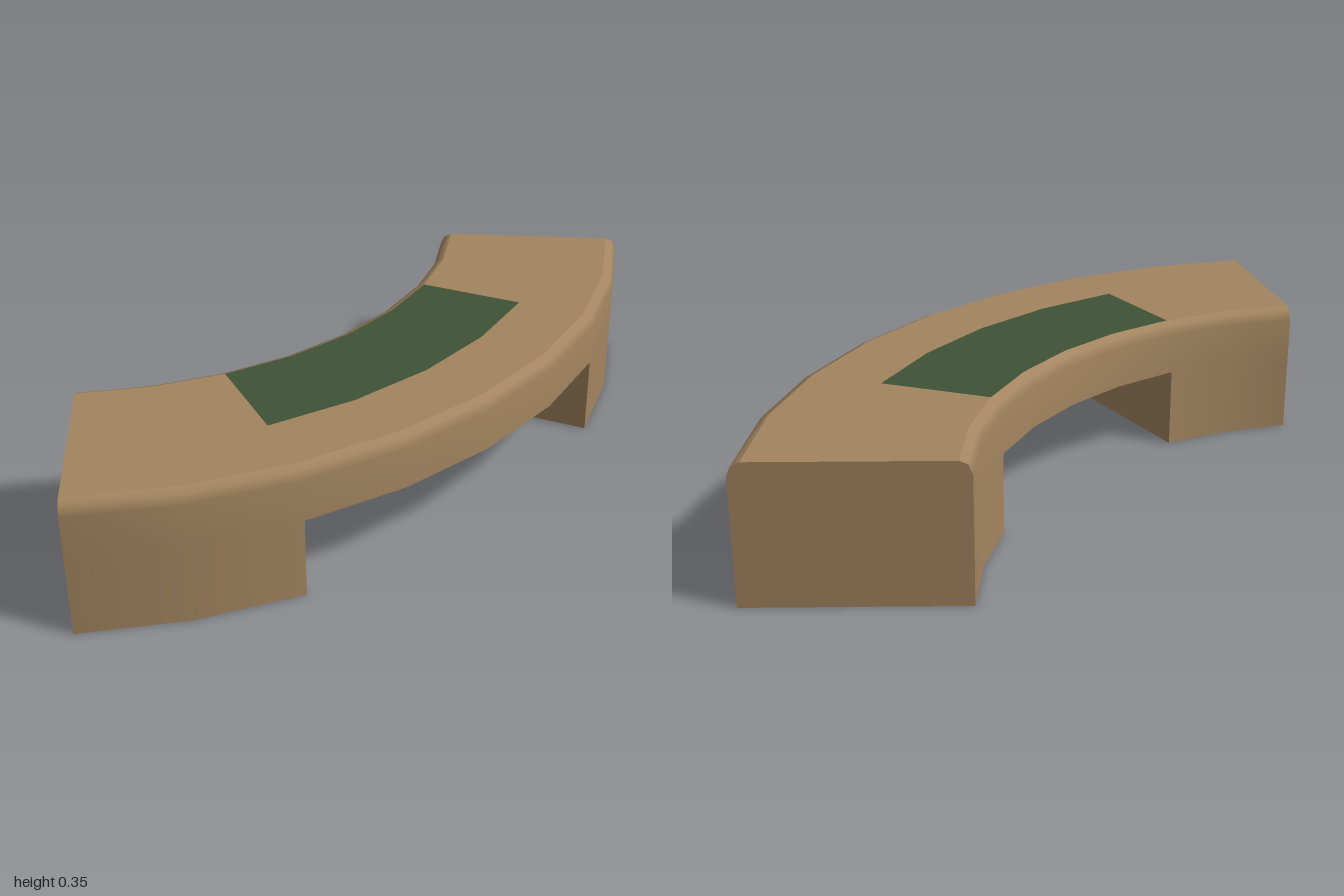
import * as THREE from 'three';
import { mergeGeometries } from 'three/addons/utils/BufferGeometryUtils.js';

const CENTRE_Z = -1.175; // centre of the bench's arc
const STEP = 10;         // degrees per segment
const RIN = 1.035, ROUT = 1.555, TOP = 0.347, UNDER = 0.208;
const PANEL_IN = 1.065, PANEL_OUT = 1.345, TOP_OUT = 1.525;
const rad = THREE.MathUtils.degToRad;

// Sweep an open profile of [radius, y] points around the arc, smooth along it.
function sweep(profile, from, to) {
  const segs = Math.round((to - from) / STEP), n = profile.length;
  const pos = [], index = [];
  for (let i = 0; i <= segs; i++) {
    const a = rad(from + i * STEP);
    for (const [r, y] of profile) pos.push(r * Math.sin(a), y, r * Math.cos(a));
  }
  for (let i = 0; i < segs; i++) for (let j = 0; j < n - 1; j++) {
    const a = i * n + j, b = a + n;
    index.push(a, b, a + 1, b, b + 1, a + 1);
  }
  const g = new THREE.BufferGeometry();
  g.setAttribute('position', new THREE.Float32BufferAttribute(pos, 3));
  g.setIndex(index);
  g.computeVertexNormals();
  // turn each normal exactly radial, so neighbouring strips shade alike
  const nor = g.attributes.normal;
  for (let k = 0; k < nor.count; k++) {
    const a = rad(from + Math.floor(k / n) * STEP), s = Math.sin(a), c = Math.cos(a);
    const y = nor.getY(k), h = nor.getX(k) * s + nor.getZ(k) * c;
    const l = Math.hypot(h, y);
    nor.setXYZ(k, s * h / l, y / l, c * h / l);
  }
  return g;
}

// Flat cross-section closing the sweep at one angle.
function cap(profile, angle, flip) {
  const g = new THREE.ShapeGeometry(new THREE.Shape(profile.map(p => new THREE.Vector2(...p))));
  g.deleteAttribute('uv');
  g.rotateY(rad(angle) - Math.PI / 2);
  if (flip) {
    g.index.array.reverse();
    g.computeVertexNormals();
  }
  return g;
}

export function createModel() {
  const bench = new THREE.Group();
  bench.name = 'curvedBench';
  const stone = new THREE.MeshStandardMaterial({ color: 0xa38560 });
  const green = new THREE.MeshStandardMaterial({ color: 0x3f5235 });
  const add = (name, parts, material) => {
    const mesh = new THREE.Mesh(mergeGeometries(parts), material);
    mesh.name = name;
    mesh.position.z = CENTRE_Z;
    bench.add(mesh);
  };

  // rounded front and back edges
  const outer = [[ROUT, UNDER], [ROUT, 0.315], [ROUT - 0.01, 0.338], [TOP_OUT, TOP]];
  const inner = [[PANEL_IN, TOP], [RIN + 0.01, 0.338], [RIN, 0.315], [RIN, UNDER]];
  const section = [...outer, ...inner];

  // seat slab, with its top left open where the panel lies
  add('seat', [
    sweep(outer, -40, 40),
    sweep(inner, -40, 40),
    sweep([[TOP_OUT, TOP], [PANEL_OUT, TOP]], -40, 40),
    sweep([[PANEL_OUT, TOP], [PANEL_IN, TOP]], -40, -20),
    sweep([[PANEL_OUT, TOP], [PANEL_IN, TOP]], 20, 40),
    sweep([[RIN, UNDER], [ROUT, UNDER]], -20, 20),
    cap(section, -40, false),
    cap(section, 40, true),
  ], stone);

  // inlaid seat panel
  add('seatPanel', [sweep([[PANEL_OUT, TOP], [PANEL_IN, TOP]], -20, 20)], green);

  // a block leg under each end
  const legSection = [[ROUT, 0], [ROUT, UNDER], [RIN, UNDER], [RIN, 0]];
  for (const [name, from] of [['rightLeg', -40], ['leftLeg', 20]]) {
    add(name, [
      sweep([[ROUT, 0], [ROUT, UNDER]], from, from + 20),
      sweep([[RIN, UNDER], [RIN, 0]], from, from + 20),
      sweep([[RIN, 0], [ROUT, 0]], from, from + 20),
      cap(legSection, from, false),
      cap(legSection, from + 20, true),
    ], stone);
  }
  return bench;
}
